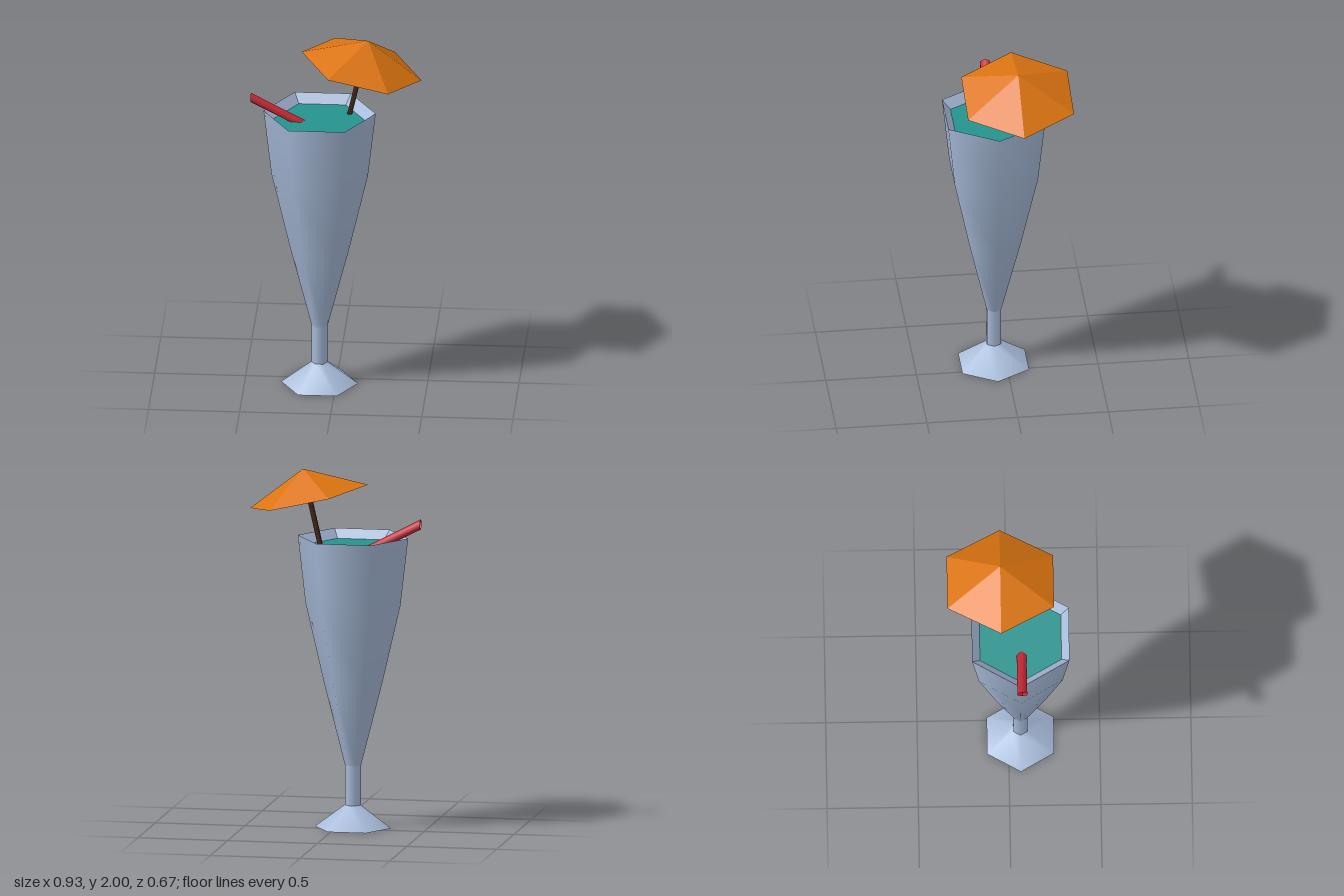
import * as THREE from 'three';

const paint = (name, color, side = THREE.FrontSide) => {
  const m = new THREE.MeshStandardMaterial({ color, side });
  m.name = name;
  return m;
};

export function createModel() {
  const model = new THREE.Group();
  model.name = 'cocktail';
  const glassBlue = paint('glass blue', 0xa8bcda);
  const teal = paint('drink teal', 0x25938f);
  const orange = paint('umbrella orange', 0xdc7410, THREE.DoubleSide);
  const brown = paint('stick brown', 0x43261a);
  const red = paint('straw red', 0xc92a36, THREE.DoubleSide);

  const add = (parent, name, geometry, material) => {
    const mesh = new THREE.Mesh(geometry, material);
    mesh.name = name;
    parent.add(mesh);
    return mesh;
  };
  const flat = (geometry) => {
    const g = geometry.toNonIndexed();
    g.computeVertexNormals();
    return g;
  };
  // six-sided turned surface with a corner on +x; points are [radius, height]
  const hexLathe = (points) => new THREE.LatheGeometry(
    points.map(([r, y]) => new THREE.Vector2(r, y)), 6, Math.PI / 2);

  // glass, in separate bands so the joins stay sharp
  const glass = new THREE.Group();
  glass.name = 'glass';
  glass.position.set(-0.09, 0, 0.065);
  model.add(glass);
  const level = 1.563;
  add(glass, 'footUnderside', hexLathe([[0, 0], [0.212, 0]]), glassBlue);
  add(glass, 'foot', hexLathe([[0.212, 0], [0.045, 0.125]]), glassBlue);
  add(glass, 'stem', hexLathe([[0.045, 0.125], [0.045, 0.345]]), glassBlue);
  add(glass, 'bowl', hexLathe([[0.045, 0.345], [0.162, 0.8], [0.265, 1.24], [0.308, 1.613]]), glassBlue);
  add(glass, 'innerWall', flat(hexLathe([[0.308, 1.613], [0.258, level]])), glassBlue);
  add(glass, 'drink', hexLathe([[0.258, level], [0, level]]), teal);

  // tilted cocktail umbrella, origin at its tip
  const umbrella = new THREE.Group();
  umbrella.name = 'umbrella';
  umbrella.position.set(0.168, 2, -0.042);
  umbrella.rotation.z = -0.225;
  model.add(umbrella);
  const canopy = new THREE.ConeGeometry(0.337, 0.156, 6, 1, true, Math.PI / 2);
  add(umbrella, 'canopy', flat(canopy), orange).position.y = -0.078;
  add(umbrella, 'stick', new THREE.CylinderGeometry(0.015, 0.015, 0.47, 6), brown).position.y = -0.255;

  // hollow straw, sheared so that both ends are cut upright
  const length = 0.315;
  const straw = new THREE.CylinderGeometry(0.031, 0.031, length, 6, 1, true);
  straw.rotateX(Math.PI / 2).rotateY(Math.PI / 2);
  const p = straw.attributes.position;
  // put a corner at the top of the section
  let top = -1;
  for (let i = 0; i < p.count; i++) top = Math.max(top, p.getY(i));
  if (top < 0.03) straw.rotateX(Math.PI / 6);
  for (let i = 0; i < p.count; i++) p.setY(i, p.getY(i) * 0.9 - 0.52 * (p.getX(i) + length / 2));
  straw.computeVertexNormals();
  add(model, 'straw', straw, red).position.set(-0.467 + length / 2, 1.692, 0.07);

  return model;
}
